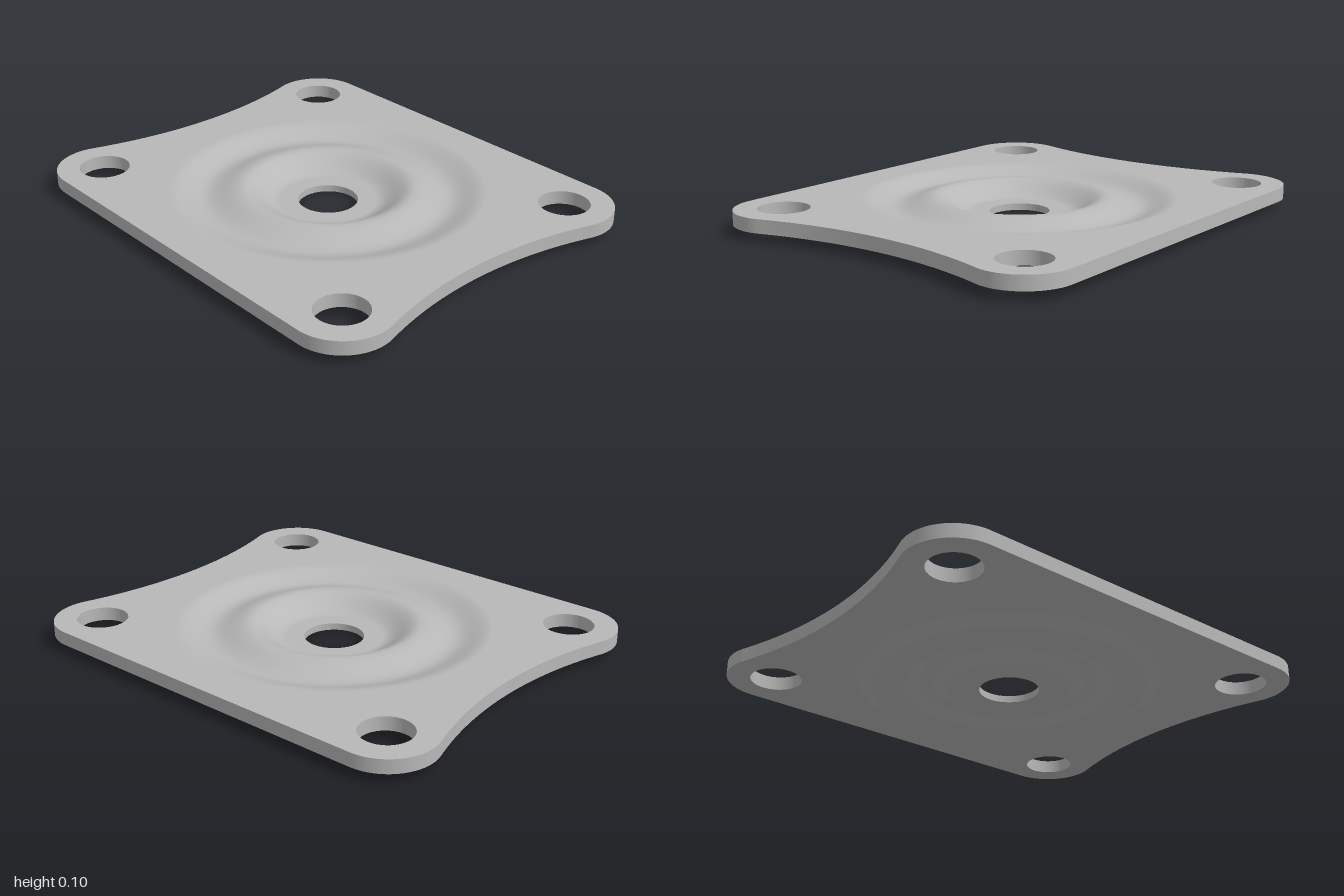
import * as THREE from 'three';
import { toCreasedNormals } from 'three/addons/utils/BufferGeometryUtils.js';

const TOP = 0.1, BOTTOM = 0.04, DISH_R = 0.68, BORE_R = 0.13, SEAT_R = 0.215, SEAT_Y = 0.03;
const HOLE_X = 0.63, HOLE_Z = 0.79, HOLE_R = 0.11, CORNER_R = 0.21;
const SEGMENTS = 96;

// Eases between [radius, height] keys so that every crest and groove is rounded
function easedProfile(keys, steps = 12) {
  const points = [new THREE.Vector2(...keys[0])];
  for (let i = 1; i < keys.length; i++) {
    const [r0, y0] = keys[i - 1], [r1, y1] = keys[i];
    for (let s = 1; s <= steps; s++) {
      const t = s / steps;
      points.push(new THREE.Vector2(r0 + (r1 - r0) * t, y0 + (y1 - y0) * t * t * (3 - 2 * t)));
    }
  }
  return points;
}

function circlePath(x, y, r) {
  return new THREE.Path().absarc(x, y, r, 0, Math.PI * 2, true);
}

// Rounded rectangle whose two short ends curve inwards, tangent to the corners
function plateShape() {
  const R = 1.825, cz = 2.725, a = Math.atan2(HOLE_X, cz - HOLE_Z), q = Math.PI / 2;
  const shape = new THREE.Shape();
  shape.absarc(HOLE_X, HOLE_Z, CORNER_R, 0, q + a, false);
  shape.absarc(0, cz, R, -q + a, -q - a, true);
  shape.absarc(-HOLE_X, HOLE_Z, CORNER_R, q - a, Math.PI, false);
  shape.absarc(-HOLE_X, -HOLE_Z, CORNER_R, Math.PI, 3 * q + a, false);
  shape.absarc(0, -cz, R, q + a, q - a, true);
  shape.absarc(HOLE_X, -HOLE_Z, CORNER_R, -q - a, 0, false);
  for (const x of [-HOLE_X, HOLE_X]) {
    for (const y of [-HOLE_Z, HOLE_Z]) shape.holes.push(circlePath(x, y, HOLE_R));
  }
  shape.holes.push(circlePath(0, 0, DISH_R));
  return shape;
}

export function createModel() {
  const group = new THREE.Group();
  group.name = 'mountingPlate';
  const steel = new THREE.MeshStandardMaterial({ color: 0xb8b8b8 });
  steel.name = 'steel grey';

  const add = (name, geometry) => {
    const mesh = new THREE.Mesh(geometry, steel);
    mesh.name = name;
    group.add(mesh);
  };
  const addLathe = (name, points) => add(name, new THREE.LatheGeometry(points, SEGMENTS));

  // Flat plate with four screw holes
  const plate = new THREE.ExtrudeGeometry(plateShape(), {
    depth: TOP - BOTTOM, bevelEnabled: false, curveSegments: SEGMENTS / 2,
  });
  plate.rotateX(-Math.PI / 2).translate(0, BOTTOM, 0);
  add('plate', toCreasedNormals(plate, 0.5));

  // Pressed centre: groove, raised ring and sunken seat
  addLathe('dishTop', easedProfile([[DISH_R, TOP], [0.53, 0.06], [0.37, TOP], [SEAT_R, SEAT_Y]]));
  addLathe('dishUnderside', easedProfile([
    [BORE_R, 0], [0.24, 0], [0.36, BOTTOM], [0.48, 0], [0.57, 0], [DISH_R, BOTTOM],
  ]));

  // Flat seat and the wall of the central hole
  addLathe('seat', [new THREE.Vector2(SEAT_R, SEAT_Y), new THREE.Vector2(BORE_R, SEAT_Y)]);
  addLathe('centreHoleWall', [new THREE.Vector2(BORE_R, SEAT_Y), new THREE.Vector2(BORE_R, 0)]);

  return group;
}
